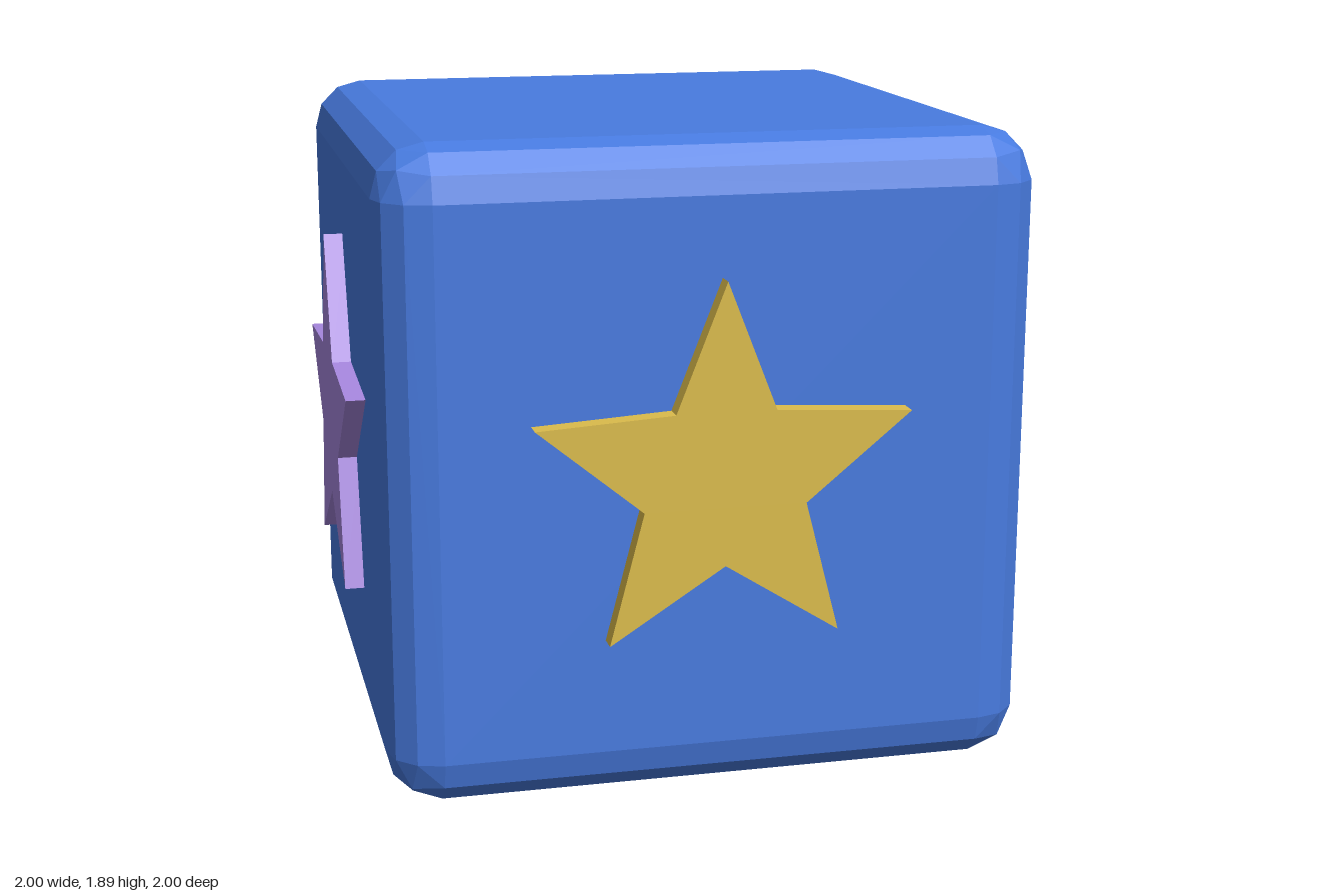
import * as THREE from 'three';
import { ConvexGeometry } from 'three/addons/geometries/ConvexGeometry.js';

const HALF = 0.943, RADIUS = 0.15, STAR_DEPTH = 0.057;

function material(name, color) {
  const m = new THREE.MeshStandardMaterial({ color });
  m.name = name;
  return m;
}

// Cube with three-step bevels: hull of an octant of a sphere at each corner
function bevelledCube() {
  const points = [], core = HALF - RADIUS, s = [0, 0.5, Math.sqrt(0.75), 1];
  for (let i = 0; i <= 3; i++) {
    for (let j = 0; j <= 3 - i; j++) {
      const n = new THREE.Vector3(s[i], s[j], s[3 - i - j]).normalize();
      n.multiplyScalar(RADIUS).addScalar(core);
      for (const x of [-1, 1]) for (const y of [-1, 1]) for (const z of [-1, 1]) {
        points.push(new THREE.Vector3(n.x * x, n.y * y, n.z * z));
      }
    }
  }
  return new ConvexGeometry(points);
}

// Five-pointed star plate, sunk slightly into the cube
function starPlate() {
  const points = [];
  for (let i = 0; i < 10; i++) {
    const r = i % 2 ? 0.245 : 0.565;
    const a = Math.PI / 2 + i * Math.PI / 5;
    points.push(new THREE.Vector2(r * Math.cos(a), r * Math.sin(a)));
  }
  const sink = 0.01;
  return new THREE.ExtrudeGeometry(new THREE.Shape(points), {
    depth: STAR_DEPTH + sink, bevelEnabled: false,
  }).translate(0, 0, HALF - sink);
}

export function createModel() {
  const model = new THREE.Group();
  model.name = 'starCube';

  const cube = new THREE.Mesh(bevelledCube(), material('blue', 0x487be0));
  cube.name = 'cubeBody';
  cube.position.y = HALF;
  model.add(cube);

  // One star on each side face, turning from the front towards +x
  const star = starPlate();
  [
    ['frontStar', 'yellow', 0xdcbc4c],
    ['leftStar', 'red', 0xe06c60],
    ['backStar', 'green', 0x72d4a4],
    ['rightStar', 'purple', 0xa888e0],
  ].forEach(([name, colorName, color], i) => {
    const mesh = new THREE.Mesh(star, material(colorName, color));
    mesh.name = name;
    mesh.position.y = HALF;
    mesh.rotation.y = i * Math.PI / 2;
    model.add(mesh);
  });
  return model;
}
